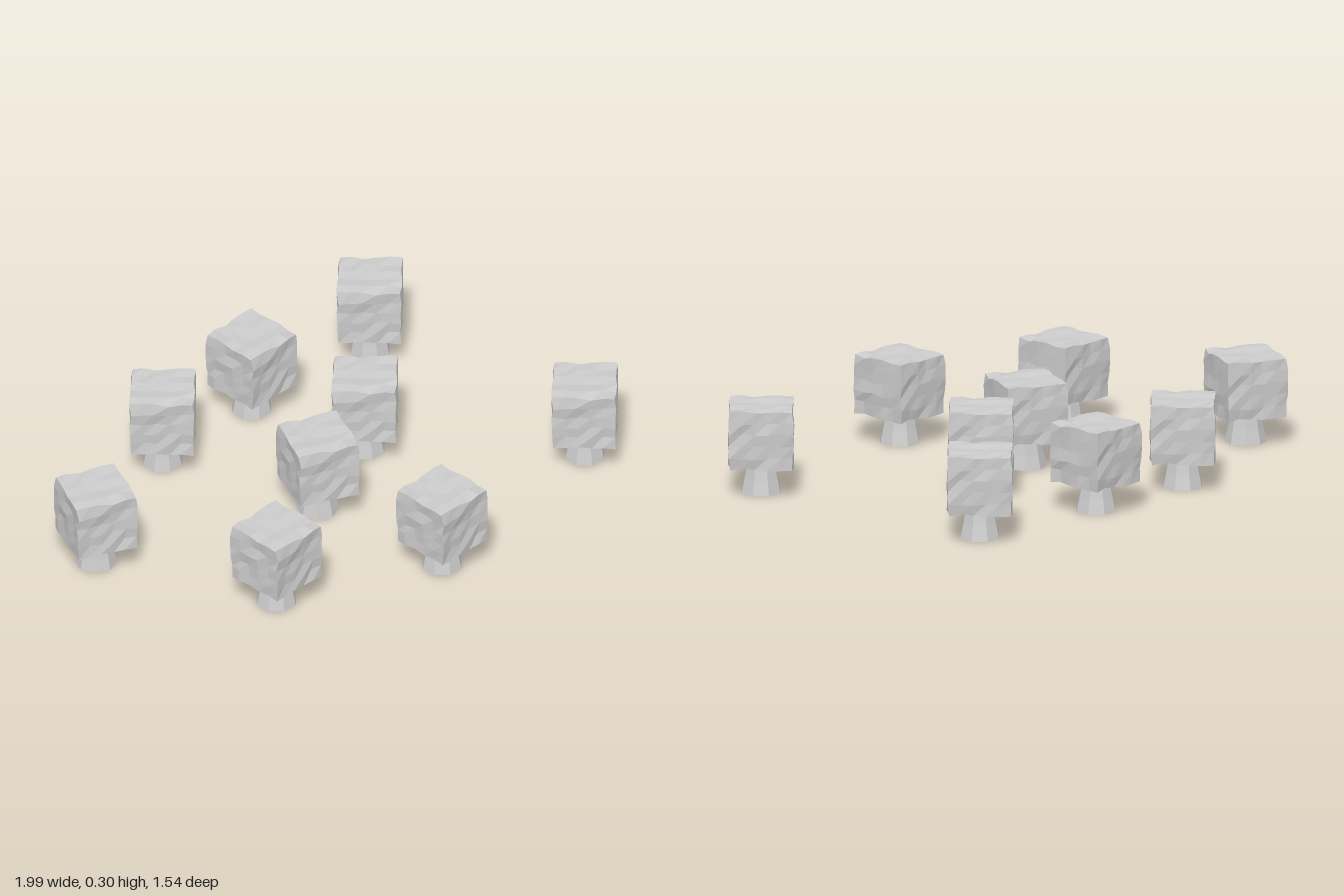
import * as THREE from 'three';
import { mergeVertices } from 'three/addons/utils/BufferGeometryUtils.js';

// Seeded value in -1..1
function seeded(seed) {
  let s = seed;
  return () => {
    s = (s * 16807) % 2147483647;
    return (s / 2147483647) * 2 - 1;
  };
}

// Cube of leaves with gently uneven faces
function crownGeometry() {
  const box = new THREE.BoxGeometry(0.212, 0.198, 0.212, 5, 5, 5);
  box.deleteAttribute('normal');
  box.deleteAttribute('uv');
  const geo = mergeVertices(box, 1e-4);
  const p = geo.attributes.position;
  const rand = seeded(4711);
  for (let i = 0; i < p.count; i++) {
    const x = p.getX(i), y = p.getY(i), z = p.getZ(i);
    p.setXYZ(i, x + rand() * 0.005, y + rand() * 0.005, z + rand() * 0.005);
  }
  geo.computeVertexNormals();
  return geo;
}

// Eight-sided trunk, flared at the foot and open underneath
function trunkGeometry() {
  const profile = [[0.07, 0], [0.059, 0.05], [0.053, 0.085], [0.053, 0.12]];
  const geo = new THREE.LatheGeometry(profile.map(([r, y]) => new THREE.Vector2(r, y)), 8);
  return geo.rotateY(Math.PI / 8);
}

export function createModel() {
  const model = new THREE.Group();
  model.name = 'treeGrove';
  const leaf = new THREE.MeshStandardMaterial({ color: 0xcccccc, flatShading: true });
  const bark = new THREE.MeshStandardMaterial({ color: 0xcccccc, flatShading: true, side: THREE.DoubleSide });
  const crownGeo = crownGeometry();
  const trunkGeo = trunkGeometry();

  // x, z, turn in degrees
  const trees = [
    [0.40, -0.635, -22.5], [-0.09, -0.455, 24.5], [-0.475, -0.275, -22.5],
    [0.18, -0.105, -22.5], [-0.89, 0.19, 0], [-0.09, 0.165, 0],
    [0.85, 0.19, -22.5], [-0.41, 0.615, 24.5], [0.18, 0.615, 24.5],
  ];
  for (const [x, z, turn] of trees) {
    const tree = new THREE.Group();
    tree.name = 'tree';
    const crown = new THREE.Mesh(crownGeo, leaf);
    crown.name = 'crown';
    crown.position.y = 0.2;
    const trunk = new THREE.Mesh(trunkGeo, bark);
    trunk.name = 'trunk';
    tree.add(crown, trunk);
    tree.position.set(x, 0, z);
    tree.rotation.y = THREE.MathUtils.degToRad(turn);
    model.add(tree);
  }
  return model;
}
